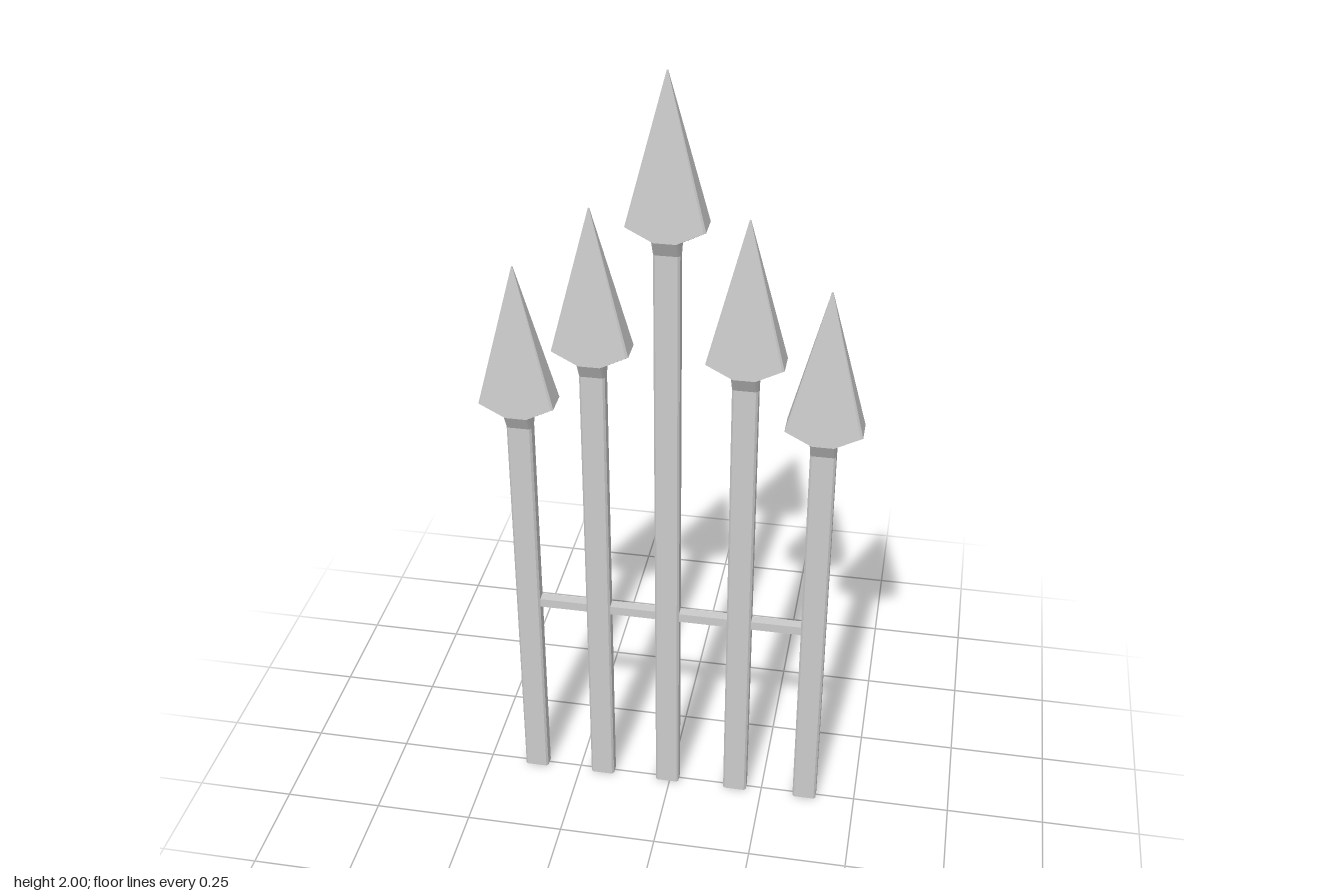
import * as THREE from 'three';

const material = new THREE.MeshStandardMaterial({ color: 0xcccccc, flatShading: true });

// Rectangle with chamfered corners, counter-clockwise seen from +z towards +x
function section(y, w, d, c) {
  return [
    [w, d - c], [w, c - d], [w - c, -d], [c - w, -d],
    [-w, c - d], [-w, d - c], [c - w, d], [w - c, d],
  ].map(([x, z]) => [x, y, z]);
}

// Skin between sections listed from bottom to top, closed at both ends
function loft(sections) {
  const n = sections[0].length;
  const index = [];
  for (let s = 0; s < sections.length - 1; s++) {
    for (let i = 0; i < n; i++) {
      const a = s * n + i, b = s * n + (i + 1) % n;
      index.push(a, b, b + n, a, b + n, a + n);
    }
  }
  const top = (sections.length - 1) * n;
  for (let i = 1; i < n - 1; i++) {
    index.push(0, i + 1, i, top, top + i, top + i + 1);
  }
  const geometry = new THREE.BufferGeometry();
  geometry.setAttribute('position', new THREE.Float32BufferAttribute(sections.flat(2), 3));
  geometry.setIndex(index);
  const flat = geometry.toNonIndexed();
  flat.computeVertexNormals();
  return flat;
}

function part(name, geometry) {
  const mesh = new THREE.Mesh(geometry, material);
  mesh.name = name;
  return mesh;
}

const SHAFT_W = 0.031, SHAFT_D = 0.018, BEVEL = 0.005;

function createPicket(x, tip) {
  const picket = new THREE.Group();
  picket.name = 'picket';
  picket.position.x = x;
  const neck = tip - 0.425;
  // Flat bar shaft
  picket.add(part('shaft', loft([
    section(0, SHAFT_W, SHAFT_D, BEVEL),
    section(neck, SHAFT_W, SHAFT_D, BEVEL),
  ])));
  // Spearhead: flared neck, swept-back barbs, long point
  picket.add(part('spearhead', loft([
    section(neck, SHAFT_W, SHAFT_D, BEVEL),
    section(tip - 0.385, SHAFT_W, 0.04, BEVEL),
    section(tip - 0.355, 0.092, 0.037, BEVEL),
    section(tip, 0.0015, 0.0012, 0.0004),
  ])));
  return picket;
}

export function createModel() {
  const model = new THREE.Group();
  model.name = 'spearFence';

  const pickets = [[-0.37, 1.51], [-0.186, 1.67], [-0.007, 2], [0.178, 1.67], [0.367, 1.51]];
  for (const [x, tip] of pickets) model.add(createPicket(x, tip));

  // Thin rail joining the pickets
  const rail = part('crossRail', new THREE.BoxGeometry(0.7, 0.024, 0.026));
  rail.position.y = 0.558;
  model.add(rail);

  return model;
}
